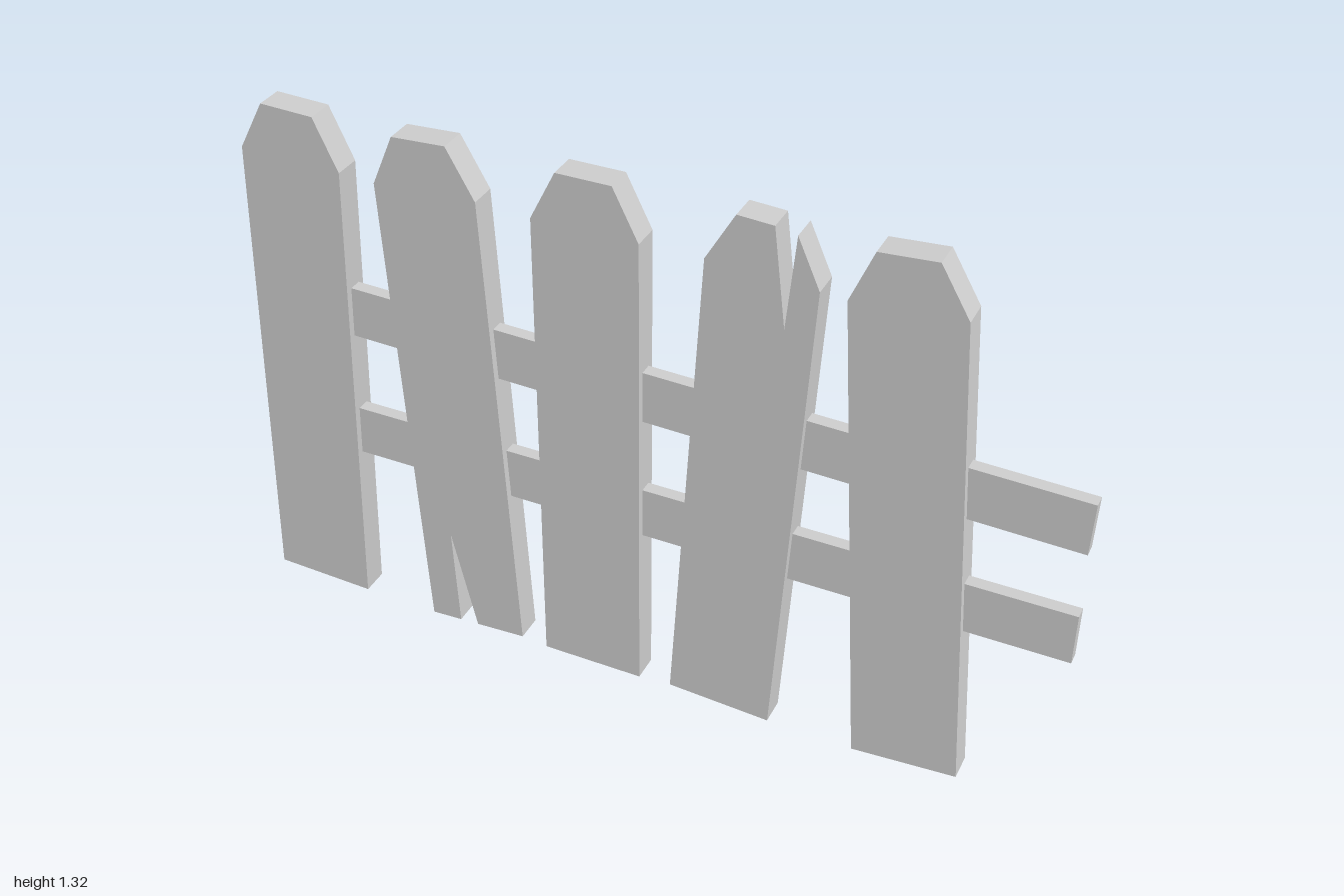
import * as THREE from 'three';

const material = new THREE.MeshStandardMaterial({ color: 0xcccccc, flatShading: true });
const HALF = 0.125, HEIGHT = 1.31, SHOULDER = 1.19, TIP = 0.065, DEPTH = 0.066;

// Picket with clipped top corners; optional cracks are extra outline points
function makePicket(name, x, tilt, { bottomCrack = [], topCrack = [] } = {}) {
  const topRight = topCrack.length ? [] : [[TIP, HEIGHT]];
  const outline = [
    [-HALF, 0], ...bottomCrack, [HALF, 0], [HALF, SHOULDER],
    ...topCrack, ...topRight, [-TIP, HEIGHT], [-HALF, SHOULDER],
  ].map(([px, py]) => new THREE.Vector2(px, py));
  const geometry = new THREE.ExtrudeGeometry(new THREE.Shape(outline), { depth: DEPTH, bevelEnabled: false });
  geometry.translate(0, 0, -DEPTH / 2);
  const picket = new THREE.Mesh(geometry, material);
  picket.name = name;
  picket.position.set(x, 0.01, 0);
  picket.rotation.z = tilt;
  return picket;
}

// Thin rail running through the pickets, from (x0, y0) to (x1, y1)
function makeRail(name, x0, y0, x1, y1) {
  const length = Math.hypot(x1 - x0, y1 - y0);
  const rail = new THREE.Mesh(new THREE.BoxGeometry(length, 0.128, 0.031), material);
  rail.name = name;
  rail.position.set((x0 + x1) / 2, (y0 + y1) / 2, 0);
  rail.rotation.z = Math.atan2(y1 - y0, x1 - x0);
  return rail;
}

export function createModel() {
  const fence = new THREE.Group();
  fence.name = 'picketFence';

  // Pickets, each leaning a little differently
  fence.add(
    makePicket('picket1', -0.877, -0.033),
    makePicket('picket2', -0.435, 0.055, {
      bottomCrack: [[-0.048, 0], [-0.046, 0.265], [0, 0]],
    }),
    makePicket('picket3', -0.12, 0),
    makePicket('picket4', 0.21, -0.055, {
      topCrack: [[0.067, 1.303], [0.06, 1.079], [0.018, HEIGHT]],
    }),
    makePicket('picket5', 0.668, 0.0715),
  );

  // Rails
  fence.add(
    makeRail('lowerRail', -0.84, 0.494, 1, 0.494),
    makeRail('upperRail', -0.84, 0.831, 0.998, 0.785),
  );
  return fence;
}
